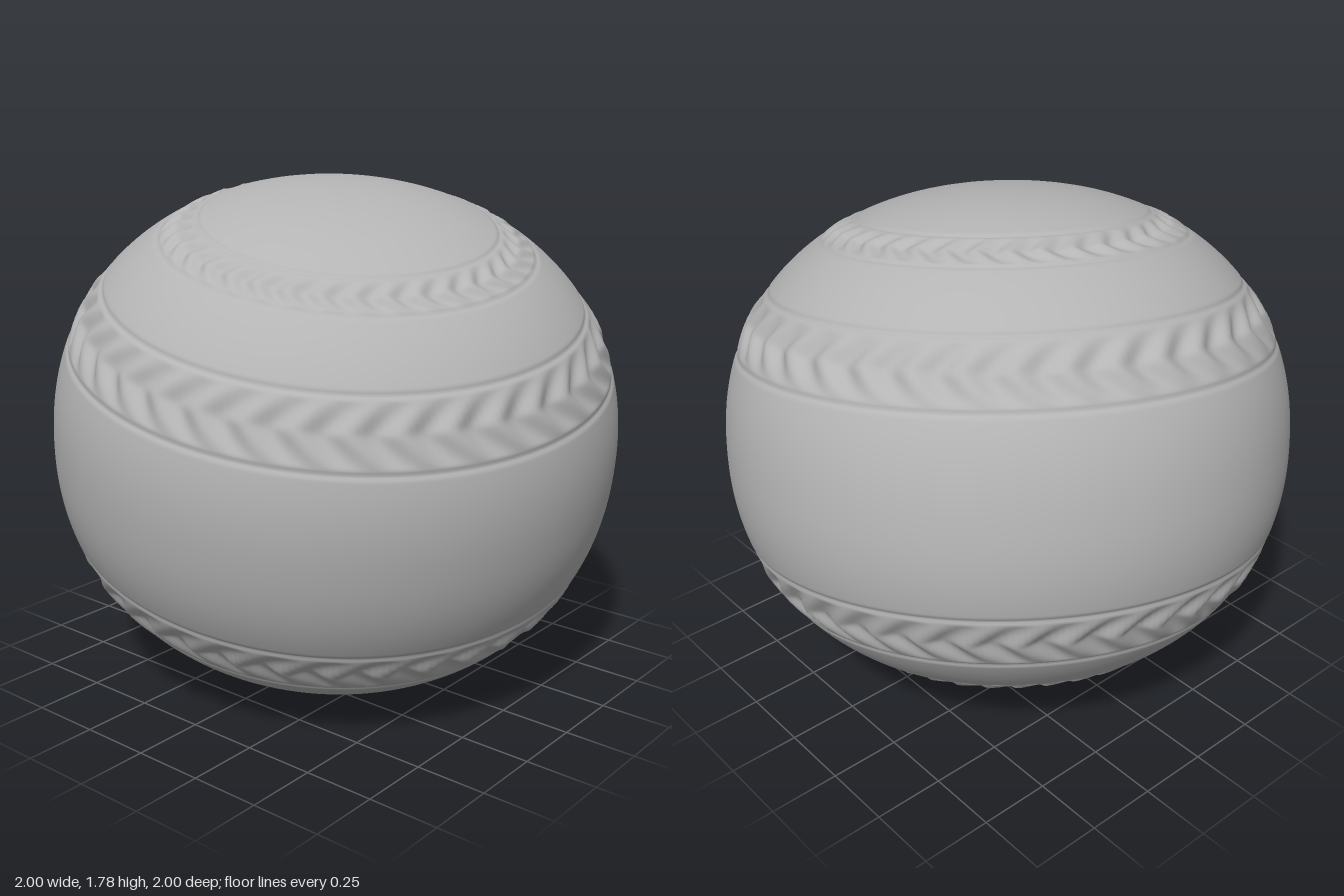
import * as THREE from 'three';
import { mergeVertices } from 'three/addons/utils/BufferGeometryUtils.js';

const HALF_HEIGHT = 0.872; // along the tilted axis, equator radius is 1
const POWER = 2.2;         // squareness of the barrel-like profile
const CHEVRONS = 36;
const SEGMENTS = 288;

// Ornamental bands, as angles from the pole; mirrored below the equator
const bands = [
  { from: 0.497, to: 0.659, depth: 0.009 },
  { from: 0.946, to: 1.22, depth: 0.013 },
];

// Rows from pole to equator, denser across the bands
function rowAngles() {
  const spans = [[0, 0.47, 10], [0.47, 0.69, 26], [0.69, 0.92, 10], [0.92, 1.25, 40], [1.25, Math.PI / 2, 12]];
  const half = [];
  for (const [a, b, n] of spans) for (let i = 0; i < n; i++) half.push(a + (b - a) * i / n);
  return [...half, Math.PI / 2, ...half.map(t => Math.PI - t).reverse()];
}

// Relief height: sunken band, chevron waves and a thin groove on each border
function relief(t, phi) {
  const q = Math.min(t, Math.PI - t);
  let d = 0;
  for (const { from, to, depth } of bands) {
    const s = (q - (from + to) / 2) / ((to - from) / 2);
    const a = Math.abs(s);
    d -= 0.006 * Math.exp(-(((a - 1) / 0.07) ** 2));
    if (a < 0.85) {
      const fade = 1 - (a / 0.85) ** 2;
      d += depth * fade * (Math.cos(CHEVRONS * phi - 4 * Math.sqrt(s * s + 0.01)) - 0.4);
    }
  }
  return d;
}

function bodyGeometry() {
  const rows = rowAngles();
  const geometry = new THREE.SphereGeometry(1, SEGMENTS, rows.length - 1);
  const pos = geometry.attributes.position;
  const bend = v => Math.sign(v) * Math.abs(v) ** (2 / POWER);
  rows.forEach((t, row) => {
    const r = row === 0 || row === rows.length - 1 ? 0 : bend(Math.sin(t));
    const h = HALF_HEIGHT * bend(Math.cos(t));
    // outward direction of the profile
    const n = new THREE.Vector2(r ** (POWER - 1),
      Math.sign(h) * Math.abs(h) ** (POWER - 1) / HALF_HEIGHT ** POWER).normalize();
    for (let i = 0; i <= SEGMENTS; i++) {
      const phi = (i % SEGMENTS) / SEGMENTS * Math.PI * 2;
      const d = relief(t, phi);
      const radius = r + n.x * d;
      pos.setXYZ(row * (SEGMENTS + 1) + i, radius * Math.sin(phi), h + n.y * d, radius * Math.cos(phi));
    }
  });
  // weld the seam for continuous smooth shading
  geometry.deleteAttribute('uv');
  geometry.deleteAttribute('normal');
  const welded = mergeVertices(geometry, 1e-5);
  // lean the axis, then stand the body on the ground
  const axis = new THREE.Vector3(0.18, 1, 0.13).normalize();
  welded.applyQuaternion(new THREE.Quaternion().setFromUnitVectors(new THREE.Vector3(0, 1, 0), axis));
  welded.computeBoundingBox();
  welded.translate(0, -welded.boundingBox.min.y, 0);
  welded.computeVertexNormals();
  return welded;
}

export function createModel() {
  const group = new THREE.Group();
  group.name = 'carvedBall';
  const stone = new THREE.MeshStandardMaterial({ color: 0xb4b4b4 });
  stone.name = 'grey stone';
  const body = new THREE.Mesh(bodyGeometry(), stone);
  body.name = 'bodyWithChevronBands';
  group.add(body);
  return group;
}
